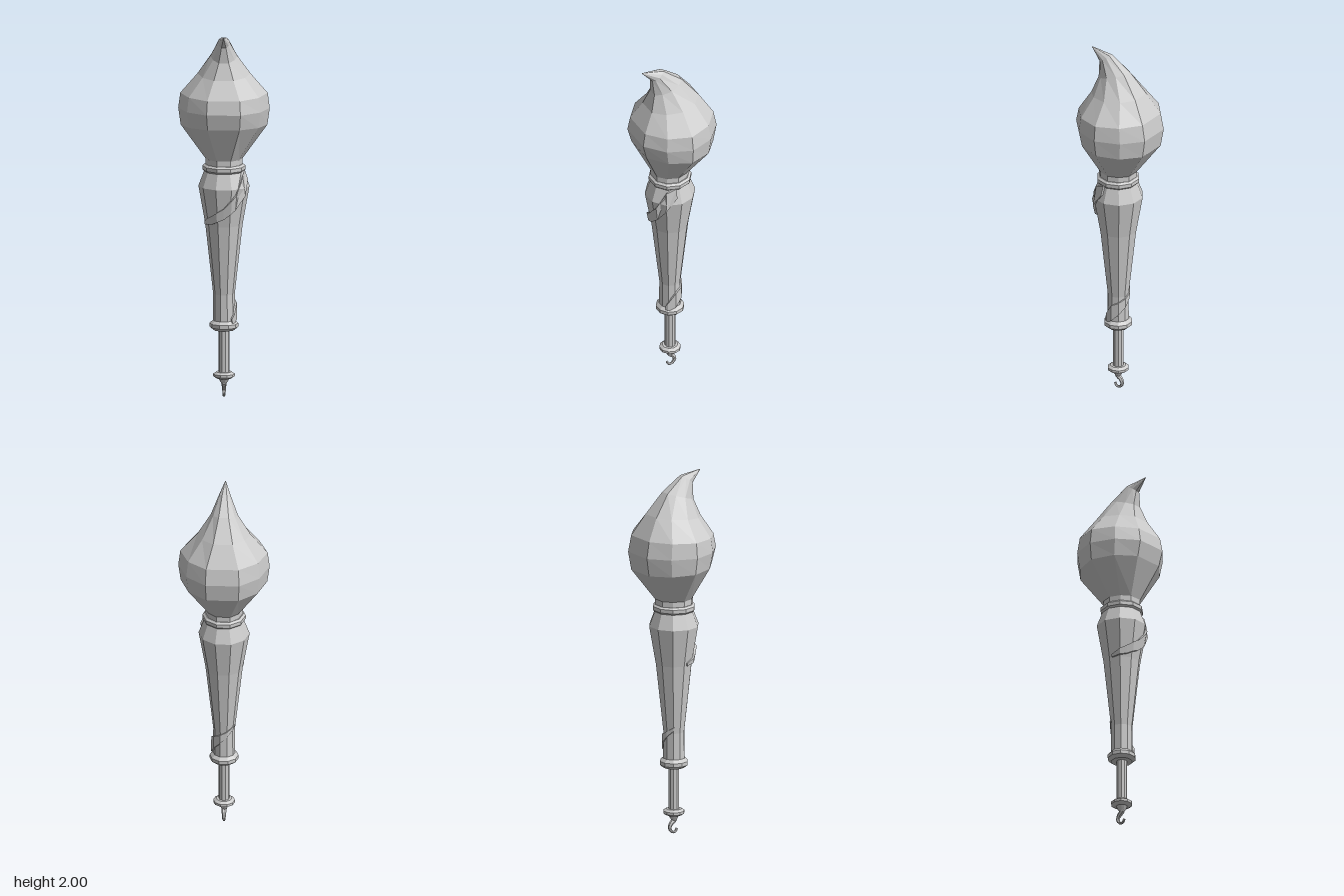
import * as THREE from 'three';

const SIDES = 10;
const AXIS_Z = 0.012; // the shaft sits slightly forward of the head
const rad = THREE.MathUtils.degToRad;
const material = new THREE.MeshStandardMaterial({ color: 0xcccccc, flatShading: true });

function addMesh(group, name, geometry) {
  const mesh = new THREE.Mesh(geometry, material);
  mesh.name = name;
  group.add(mesh);
  return mesh;
}

// Faceted solid of revolution from [radius, y] pairs
function turned(group, name, profile) {
  const points = profile.map(([r, y]) => new THREE.Vector2(r, y));
  const mesh = addMesh(group, name, new THREE.LatheGeometry(points, SIDES, Math.PI / 2));
  mesh.position.z = AXIS_Z;
}

// Closed skin through a series of rings, with flat end caps
function loft(rings) {
  const n = rings[0].length;
  const out = [];
  const tri = (...corners) => corners.forEach((p) => out.push(p.x, p.y, p.z));
  for (let i = 0; i < rings.length - 1; i++) {
    for (let j = 0; j < n; j++) {
      const k = (j + 1) % n;
      const [a, b, c, d] = [rings[i][j], rings[i + 1][j], rings[i + 1][k], rings[i][k]];
      tri(a, b, c);
      tri(a, c, d);
    }
  }
  const first = rings[0];
  const last = rings[rings.length - 1];
  for (let j = 1; j < n - 1; j++) {
    tri(first[0], first[j], first[j + 1]);
    tri(last[0], last[j + 1], last[j]);
  }
  const geometry = new THREE.BufferGeometry();
  geometry.setAttribute('position', new THREE.Float32BufferAttribute(out, 3));
  geometry.computeVertexNormals();
  return geometry;
}

// Linear lookup in rows sorted by their first value
function sample(rows, t, column) {
  let i = 0;
  while (i < rows.length - 2 && t > rows[i + 1][0]) i++;
  const [a, b] = [rows[i], rows[i + 1]];
  const f = THREE.MathUtils.clamp((t - a[0]) / (b[0] - a[0]), 0, 1);
  return THREE.MathUtils.lerp(a[column], b[column], f);
}

// Handle outline as [y, radius]
const HANDLE = [[0.4, 0.06], [0.57, 0.058], [0.95, 0.1], [1.16, 0.137], [1.25, 0.103]];

// Bulb leaning into a forward-curling tip: front z, front y, back z, back y, half width
function flameHead() {
  const sections = [
    [0.11, 1.27, -0.085, 1.27, 0.1],
    [0.11, 1.31, -0.085, 1.31, 0.1],
    [0.2, 1.5, -0.205, 1.48, 0.232],
    [0.222, 1.585, -0.222, 1.58, 0.245],
    [0.208, 1.66, -0.205, 1.67, 0.234],
    [0.15, 1.76, -0.135, 1.785, 0.142],
    [0.12, 1.85, -0.045, 1.9, 0.072],
    [0.125, 1.935, 0.06, 1.98, 0.033],
    [0.182, 1.998, 0.178, 2.0, 0.002],
  ];
  const across = [1, 0.8, 0.37, -0.37, -0.8, -1, -0.8, -0.37, 0.37, 0.8];
  const depth = [0, 0.6, 1, 1, 0.6, 0, -0.6, -1, -1, -0.6];
  return loft(sections.map(([zf, yf, zb, yb, w]) => across.map((c, j) => {
    const f = (depth[j] + 1) / 2;
    return new THREE.Vector3(
      w * c, THREE.MathUtils.lerp(yb, yf, f), THREE.MathUtils.lerp(zb, zf, f));
  })));
}

// Flat band wound on the handle: rows of [angle, lower y, upper y, thickness]
function ribbon(rows) {
  const start = rows[0][0];
  const end = rows[rows.length - 1][0];
  const angles = rows.map((row) => row[0]);
  for (let a = Math.ceil(start / 36) * 36; a < end; a += 36) {
    if (!angles.includes(a)) angles.push(a);
  }
  angles.sort((a, b) => a - b);
  return loft(angles.map((a) => {
    const [low, high, thick] = [1, 2, 3].map((column) => sample(rows, a, column));
    const offAxis = (((a % 36) + 36) % 36) - 18;
    const facet = Math.cos(rad(18)) / Math.cos(rad(offAxis));
    const at = (y, extra) => {
      const r = sample(HANDLE, y, 1) * facet + extra;
      return new THREE.Vector3(r * Math.cos(rad(a)), y, r * Math.sin(rad(a)));
    };
    return [at(high, thick), at(low, thick), at(low, -0.01), at(high, -0.01)];
  }));
}

// Tapered hook curling in the side plane
function hook() {
  const path = new THREE.CatmullRomCurve3([
    [0.1, 0.012], [0.078, 0.014], [0.062, -0.004], [0.038, -0.015],
    [0.014, -0.002], [0.012, 0.02], [0.03, 0.031],
  ].map(([y, z]) => new THREE.Vector3(0, y, z)));
  const steps = 12;
  const side = new THREE.Vector3(1, 0, 0);
  const rings = [];
  for (let i = 0; i <= steps; i++) {
    const t = i / steps;
    const centre = path.getPoint(t);
    const up = side.clone().cross(path.getTangent(t));
    const r = THREE.MathUtils.lerp(0.017, 0.007, Math.min(1, t * 1.4));
    rings.push([0, 1, 2, 3, 4, 5].map((k) => centre.clone()
      .addScaledVector(side, r * Math.cos(k * Math.PI / 3))
      .addScaledVector(up, r * Math.sin(k * Math.PI / 3))));
  }
  return loft(rings);
}

export function createModel() {
  const model = new THREE.Group();
  model.name = 'clubTorch';

  addMesh(model, 'flameHead', flameHead());

  // Shaft parts
  turned(model, 'handle', HANDLE.map(([y, r]) => [r, y]));
  turned(model, 'upperCollar', [
    [0.09, 1.238], [0.106, 1.24], [0.116, 1.25], [0.116, 1.27], [0.104, 1.28], [0, 1.28]]);
  turned(model, 'lowerCollar', [
    [0, 0.372], [0.058, 0.372], [0.077, 0.388], [0.077, 0.408], [0.06, 0.425], [0.05, 0.425]]);
  turned(model, 'rod', [[0.029, 0.13], [0.029, 0.38]]);
  turned(model, 'pommelRing', [
    [0, 0.107], [0.042, 0.107], [0.058, 0.117], [0.058, 0.131], [0.042, 0.142], [0, 0.142]]);
  turned(model, 'pommelTip', [[0.012, 0.075], [0.022, 0.092], [0.032, 0.11]]);

  addMesh(model, 'hook', hook());

  // Ribbons wound on the two ends of the handle
  const upper = addMesh(model, 'upperRibbon', ribbon([
    [10, 1.2, 1.25, 0.014], [36, 1.12, 1.23, 0.014], [60, 1.045, 1.13, 0.014],
    [90, 0.995, 1.055, 0.014], [125, 0.965, 1.01, 0.012], [170, 0.95, 0.965, 0.008]]));
  const lower = addMesh(model, 'lowerRibbon', ribbon([
    [-155, 0.6, 0.61, 0.004], [-90, 0.53, 0.57, 0.007],
    [0, 0.43, 0.52, 0.01], [48, 0.4, 0.44, 0.01]]));
  upper.position.z = lower.position.z = AXIS_Z;

  return model;
}
